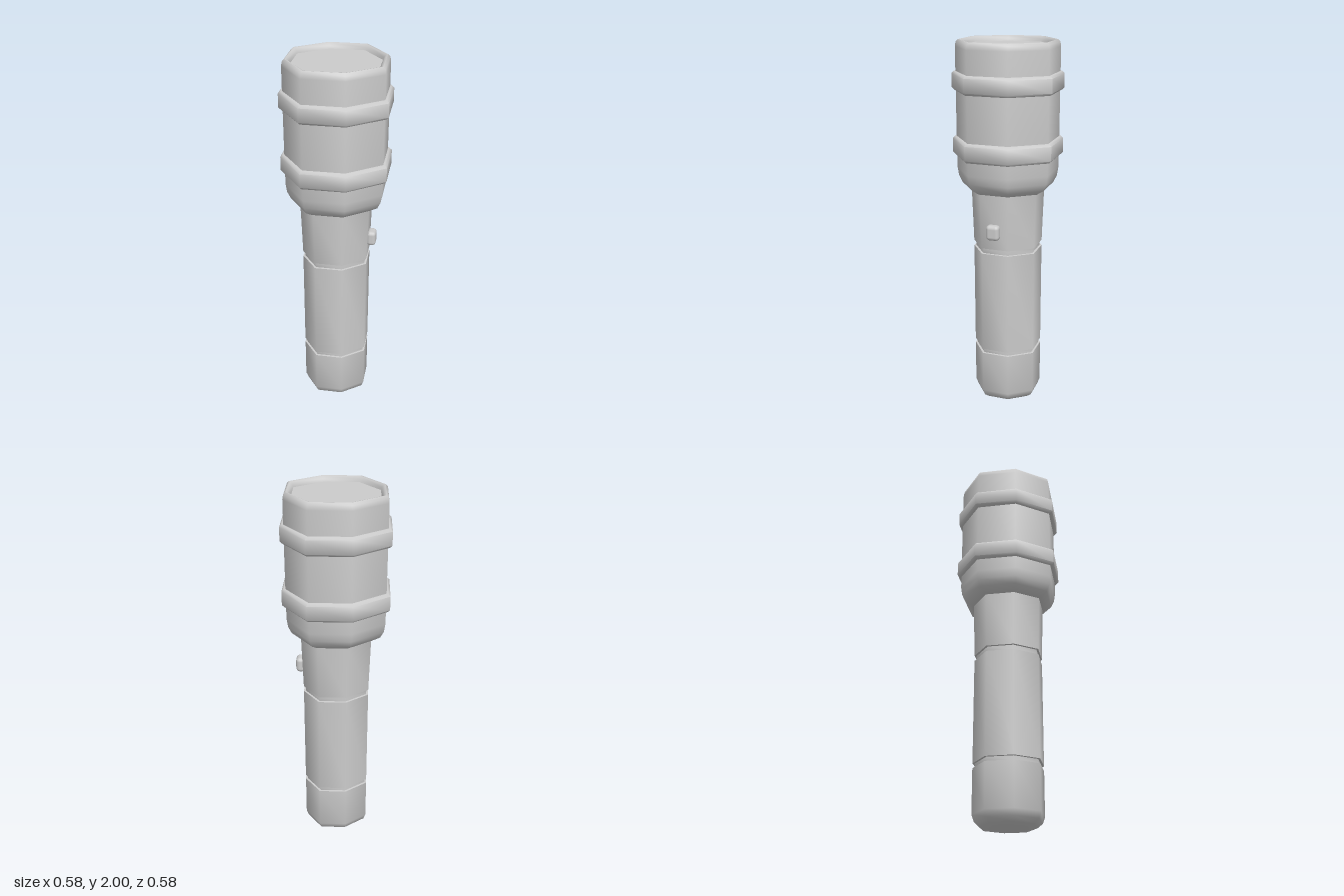
import * as THREE from 'three';
import { toCreasedNormals } from 'three/addons/utils/BufferGeometryUtils.js';
import { RoundedBoxGeometry } from 'three/addons/geometries/RoundedBoxGeometry.js';

const material = new THREE.MeshStandardMaterial({ color: 0xcccccc });

// Eight-sided lathe; the diagonal corners stand a little further out than the axial ones.
function octagonLathe(name, profile) {
  const points = profile.map(([r, y]) => new THREE.Vector2(r, y));
  const geometry = new THREE.LatheGeometry(points, 8);
  const pos = geometry.attributes.position;
  for (let i = 0; i < pos.count; i++) {
    const column = Math.floor(i / points.length);
    const k = column % 2 ? 1.06 : 1;
    pos.setXYZ(i, pos.getX(i) * k, pos.getY(i), pos.getZ(i) * k);
  }
  const mesh = new THREE.Mesh(toCreasedNormals(geometry, 1.0), material);
  mesh.name = name;
  return mesh;
}

// Profile points of a thin cut into the handle between two heights.
const groove = (r, y0, y1) => [[r, y0], [r - 0.011, y0 + 0.001], [r - 0.011, y1 - 0.001], [r, y1]];

// Bevelled band around the head.
function band(name, y0, y1) {
  const inner = 0.255, outer = 0.289, bevel = 0.012;
  return octagonLathe(name, [
    [inner, y0], [outer - bevel, y0], [outer, y0 + bevel],
    [outer, y1 - bevel], [outer - bevel, y1], [inner, y1],
  ]);
}

export function createModel() {
  const model = new THREE.Group();
  model.name = 'flashlight';

  // Handle with rounded end cap and two grooves
  model.add(octagonLathe('handle', [
    [0, 0], [0.07, 0.007], [0.145, 0.02], [0.172, 0.042], [0.184, 0.075],
    ...groove(0.184, 0.31, 0.335),
    ...groove(0.184, 0.9, 0.93),
    [0.194, 1.24],
  ]));

  // Head: flared base, straight barrel and rounded rim
  model.add(octagonLathe('head', [
    [0.18, 1.23], [0.2, 1.23], [0.242, 1.258], [0.26, 1.295], [0.267, 1.34], [0.268, 1.45],
    [0.268, 1.965], [0.264, 1.988], [0.252, 2], [0.243, 1.998], [0.232, 1.985], [0.227, 1.965],
  ]));
  model.add(band('lowerBand', 1.41, 1.508));
  model.add(band('upperBand', 1.748, 1.843));

  // Flat lens set just below the rim
  model.add(octagonLathe('lens', [[0.229, 1.972], [0, 1.972]]));

  // Push button on one side face of the handle
  const button = new THREE.Mesh(new RoundedBoxGeometry(0.05, 0.082, 0.072, 2, 0.02), material);
  button.name = 'button';
  button.position.set(0.178, 1.032, 0.077);
  button.rotation.y = -0.33;
  model.add(button);

  return model;
}
